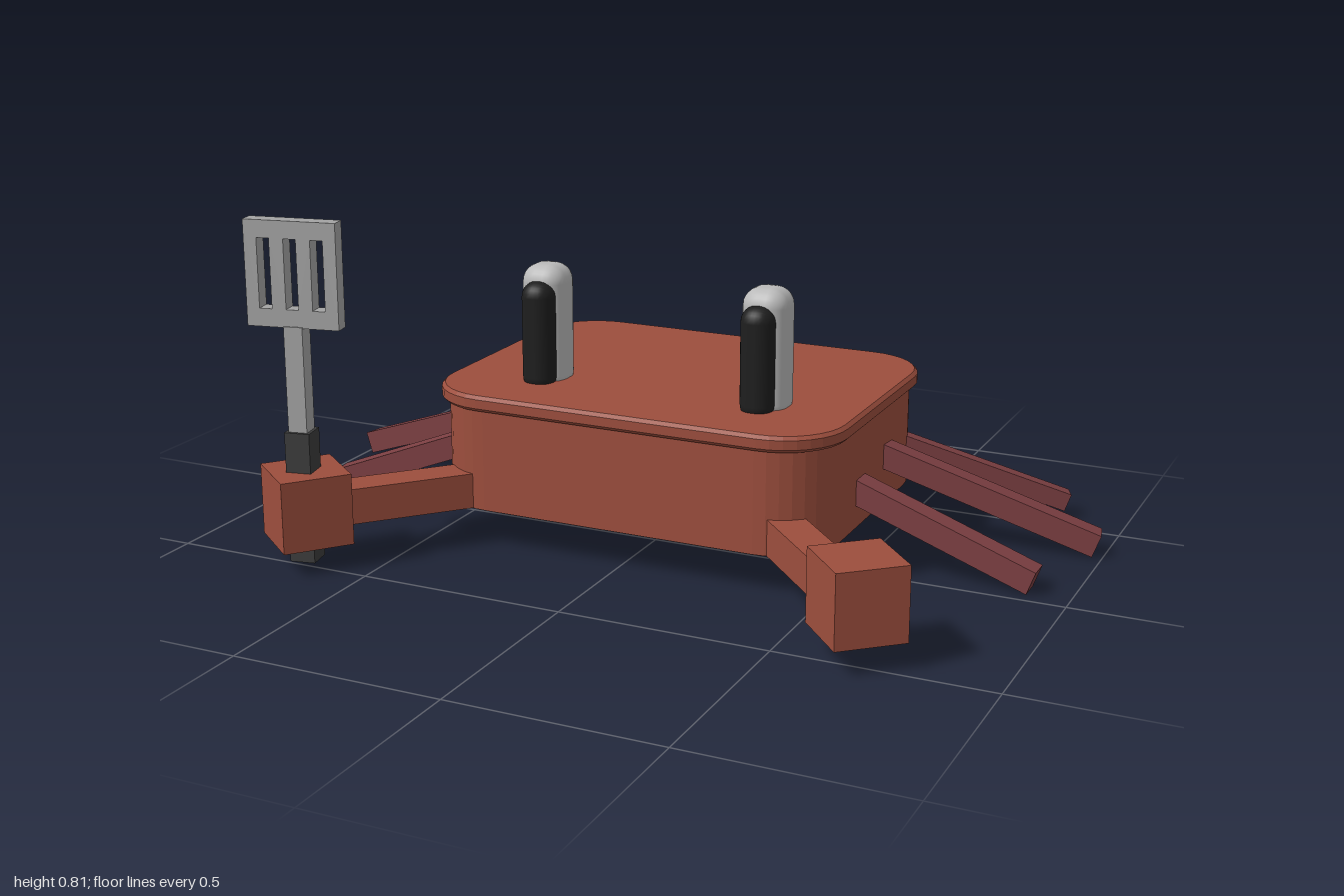
import * as THREE from 'three';
import { RoundedBoxGeometry } from 'three/addons/geometries/RoundedBoxGeometry.js';

const mat = (name, color) => {
  const m = new THREE.MeshStandardMaterial({ color });
  m.name = name;
  return m;
};

// Rounded rectangle centred on the origin
function roundedRect(w, d, r) {
  const x = w / 2, y = d / 2, s = new THREE.Shape();
  s.absarc(x - r, y - r, r, 0, Math.PI / 2);
  s.absarc(-x + r, y - r, r, Math.PI / 2, Math.PI);
  s.absarc(-x + r, -y + r, r, Math.PI, Math.PI * 1.5);
  s.absarc(x - r, -y + r, r, Math.PI * 1.5, Math.PI * 2);
  s.closePath();
  return s;
}

export function createModel() {
  const root = new THREE.Group();
  root.name = 'crabCook';
  const shell = mat('shellRed', 0x9c4e3d);
  const legMat = mat('legMaroon', 0x7c3f42);
  const white = mat('eyeGrey', 0xbababa);
  const black = mat('pupilBlack', 0x1e1e1e);
  const steel = mat('steelGrey', 0xa4a4a4);
  const grip = mat('gripDark', 0x3c3c3c);

  const add = (name, geo, material, x = 0, y = 0, z = 0, parent = root) => {
    const m = new THREE.Mesh(geo, material);
    m.name = name;
    m.position.set(x, y, z);
    parent.add(m);
    return m;
  };
  const box = (w, h, d) => new THREE.BoxGeometry(w, h, d);

  // Body and overhanging lid
  const slab = (w, d, r, h) => new THREE.ExtrudeGeometry(roundedRect(w, d, r),
    { depth: h, bevelEnabled: false, curveSegments: 4 }).rotateX(-Math.PI / 2);
  add('body', slab(0.985, 0.75, 0.15, 0.26), shell, 0, 0.1, -0.152);
  const lidGeo = new THREE.ExtrudeGeometry(roundedRect(1.004, 0.76, 0.15), {
    depth: 0.022, bevelThickness: 0.008, bevelSize: 0.008, bevelSegments: 1, curveSegments: 4,
  }).rotateX(-Math.PI / 2);
  add('lid', lidGeo, shell, 0, 0.353, -0.152);

  // Eyes with pupils set into the front
  for (const side of [-1, 1]) {
    add('eye', new RoundedBoxGeometry(0.11, 0.31, 0.11, 3, 0.043), white, side * 0.283, 0.505, 0);
    add('pupil', new RoundedBoxGeometry(0.08, 0.265, 0.08, 3, 0.036), black, side * 0.28, 0.493, 0.05);
  }

  // Square bar between two points
  const bar = (name, a, b, w, h, material) => {
    const p = new THREE.Vector3(...a), q = new THREE.Vector3(...b);
    const m = add(name, box(w, h, p.distanceTo(q)), material);
    m.position.copy(p).add(q).multiplyScalar(0.5);
    m.lookAt(q);
  };

  // Legs: [x side, z at body, y at body, end x, end y, end z, thickness]
  const legs = [
    [1, -0.063, 0.183, 0.91, 0.033, -0.063, 0.058],
    [1, -0.252, 0.213, 0.98, 0.033, -0.357, 0.057],
    [1, -0.425, 0.188, 0.848, 0.048, -0.583, 0.045],
    [-1, -0.053, 0.183, -0.89, 0.033, -0.013, 0.058],
    [-1, -0.215, 0.213, -0.985, 0.033, -0.31, 0.057],
    [-1, -0.42, 0.188, -0.862, 0.048, -0.553, 0.045],
  ];
  for (const [s, z, y, ex, ey, ez, t] of legs) {
    const start = new THREE.Vector3(s * 0.5, y, z), end = new THREE.Vector3(ex, ey, ez);
    start.lerp(end, -0.1); // root tucked inside the body
    bar('leg', start.toArray(), end.toArray(), t, t, legMat);
  }

  // Arms and block claws
  bar('rightArm', [-0.36, 0.143, 0.14], [-0.64, 0.143, 0.455], 0.085, 0.085, shell);
  bar('leftArm', [0.36, 0.143, 0.14], [0.64, 0.143, 0.44], 0.085, 0.085, shell);
  add('rightClaw', box(0.166, 0.17, 0.166), shell, -0.665, 0.15, 0.479).rotation.y = -0.68;
  add('leftClaw', box(0.164, 0.17, 0.164), shell, 0.677, 0.15, 0.463).rotation.y = 0.73;

  // Spatula held upright in the right claw
  const spatula = new THREE.Group();
  spatula.name = 'spatula';
  spatula.position.set(-0.667, 0, 0.484);
  spatula.rotation.y = 0.2;
  root.add(spatula);
  add('grip', box(0.06, 0.312, 0.06), grip, 0, 0.174, 0, spatula);
  add('shaft', box(0.045, 0.25, 0.045), steel, 0, 0.453, 0, spatula);
  const blade = new THREE.Shape([[-0.11, 0], [0.11, 0], [0.11, 0.245], [-0.11, 0.245]]
    .map(p => new THREE.Vector2(...p)));
  for (const x of [-0.064, 0, 0.064]) {
    blade.holes.push(new THREE.Path([[-0.015, 0.042], [-0.015, 0.204], [0.015, 0.204], [0.015, 0.042]]
      .map(([dx, y]) => new THREE.Vector2(x + dx, y))));
  }
  const bladeGeo = new THREE.ExtrudeGeometry(blade, { depth: 0.038, bevelEnabled: false });
  add('blade', bladeGeo, steel, 0, 0.575, -0.019, spatula);

  return root;
}
